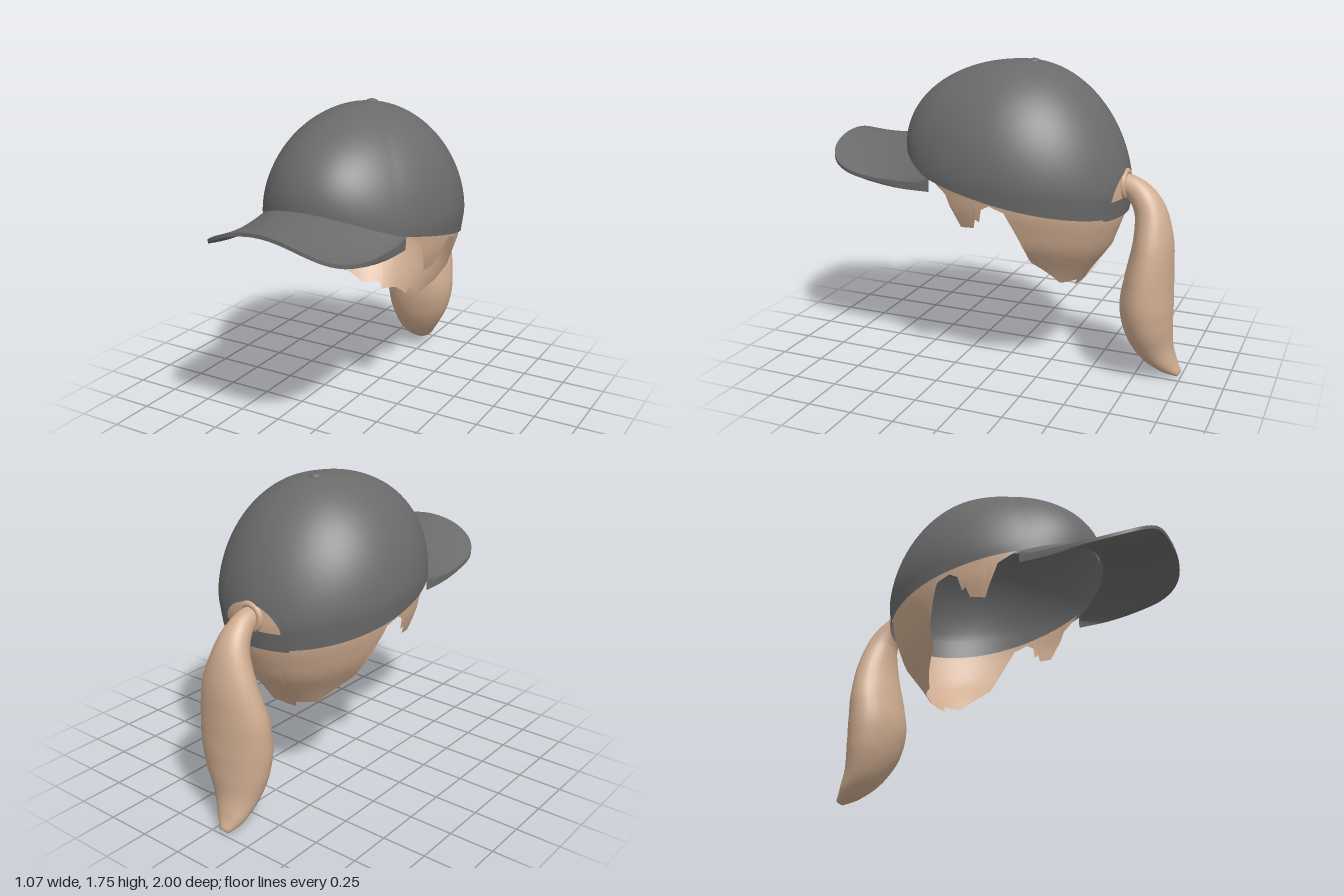
import * as THREE from 'three';

const TOP = 1.74, CZ = -0.08, RX = 0.535, BRIM_X = 0.44;

// Piecewise linear lookup in [position, value] pairs
function lookup(table, t) {
  if (t <= table[0][0]) return table[0][1];
  for (let i = 1; i < table.length; i++) {
    const [a, va] = table[i - 1], [b, vb] = table[i];
    if (t <= b) return va + (vb - va) * (t - a) / (b - a);
  }
  return table[table.length - 1][1];
}

// Smooth surface from a rule fn(u, v) -> [x, y, z]; closed joins the u ends
function grid(name, nu, nv, fn, material, closed = false) {
  const pos = [], idx = [], cols = closed ? nu : nu + 1;
  for (let j = 0; j <= nv; j++)
    for (let i = 0; i < cols; i++) pos.push(...fn(i / nu, j / nv));
  for (let j = 0; j < nv; j++)
    for (let i = 0; i < nu; i++) {
      const a = j * cols + i, b = j * cols + (i + 1) % cols;
      idx.push(a, b, b + cols, a, b + cols, a + cols);
    }
  const g = new THREE.BufferGeometry();
  g.setAttribute('position', new THREE.Float32BufferAttribute(pos, 3));
  g.setIndex(idx);
  g.computeVertexNormals();
  const m = new THREE.Mesh(g, material);
  m.name = name;
  return m;
}

// Outline of the head seen from above; angle 0 faces front
const outline = a => [RX * Math.sin(a), (Math.cos(a) > 0 ? 0.68 : 0.6) * Math.cos(a)];
const archY = x => 1.28 - 0.14 * (x / BRIM_X) ** 2;

// Height of the widest ring
function equator(a) {
  const [x, z] = outline(a);
  if (z + CZ > 0.3) return Math.max(1.15, archY(x));
  return 1.15 - 0.09 * Math.max(0, -Math.cos(a)) ** 2;
}

// Inward taper below the widest ring
const TAPER = [[0, 1], [0.15, 0.965], [0.32, 0.86], [0.46, 0.68], [0.55, 0.58]];

function domePoint(a, edge, t, k) {
  const [x, z] = outline(a), ye = equator(a), h = TOP - ye;
  const p = 1 + 0.15 * Math.max(0, -Math.cos(a));
  const s = (edge - ye) / h;
  const f0 = s >= 0 ? Math.asin(Math.min(1, s ** (1 / p))) : s;
  const f = f0 + (Math.PI / 2 - f0) * t;
  const r = k * (f >= 0 ? Math.cos(f) : lookup(TAPER, -f * h));
  const y = f >= 0 ? ye + h * Math.sin(f) ** p * k : ye + h * f;
  return [x * r, y, CZ + z * r];
}

// Lower edge of the cap, with the arched opening at the back
function capEdge(a) {
  const [x, z0] = outline(a), z = z0 + CZ;
  if (z > 0.3) return archY(x);
  const base = 1.14 - 0.2 * (0.3 - z);
  if (z < 0 && Math.abs(x) < 0.2)
    return Math.max(base, 1.0 + 0.18 * Math.sqrt(1 - (x / 0.2) ** 2));
  return base;
}

// Hairline by degrees from the back: nape, notch behind the ear, sideburn
const HAIRLINE = [
  [0, 0.54], [17, 0.52], [18, 0.56], [37, 0.56], [52, 0.64], [67, 0.72], [77, 0.92],
  [82, 1.02], [90, 1.05], [95, 1.02], [96, 0.95], [99, 0.97], [100, 0.91], [108, 0.9],
  [109, 0.97], [111, 0.96], [113, 1.07], [124, 1.15], [135, 1.3], [180, 1.38],
];
const hairEdge = a => lookup(HAIRLINE, Math.abs(a - Math.PI) * 180 / Math.PI);

const dome = (name, k, edge, mat) => grid(name, 180, 30, (u, v) => {
  const a = u * Math.PI * 2;
  return domePoint(a, edge(a), v, k);
}, mat, true);

// Curved brim: v runs across the top, round the front edge and back underneath
function brim(mat) {
  const g = new THREE.Group();
  g.name = 'brim';
  const sheet = (u, v, drop) => {
    const s = Math.sin((u - 0.5) * Math.PI), x = BRIM_X * s;
    const inner = CZ + 0.68 * Math.sqrt(1 - (x / RX) ** 2) - 0.01;
    const outer = 0.3 + 0.7 * Math.max(0, 1 - s ** 4) ** 0.25;
    const z = inner + Math.max(0, outer - inner) * v;
    const dip = 0.04 * s * s * Math.sin(Math.PI * Math.min(1, v * 0.75));
    return [x, archY(x) - dip - drop - 0.012 * Math.sin(v * Math.PI), z];
  };
  g.add(grid('brimTop', 48, 14, (u, v) => sheet(u, 1 - v, 0), mat));
  g.add(grid('brimUnderside', 48, 14, (u, v) => sheet(u, v, 0.02), mat));
  g.add(grid('brimEdge', 48, 1, (u, v) => sheet(u, 1, 0.02 * (1 - v)), mat));
  return g;
}

// Ponytail sections: x, y, z, half width, half depth
const TAIL = [
  [0, 1.10, -0.60, 0.055, 0.055], [0, 1.10, -0.67, 0.055, 0.06],
  [0, 1.06, -0.74, 0.07, 0.07], [0, 0.97, -0.80, 0.10, 0.085],
  [0, 0.80, -0.825, 0.165, 0.107], [-0.01, 0.60, -0.81, 0.215, 0.13],
  [-0.01, 0.45, -0.80, 0.22, 0.143], [-0.02, 0.30, -0.815, 0.195, 0.132],
  [-0.04, 0.17, -0.855, 0.14, 0.10], [-0.06, 0.07, -0.925, 0.085, 0.055],
  [-0.07, 0.015, -0.985, 0.03, 0.018],
];

function ponytail(mat) {
  const path = new THREE.CatmullRomCurve3(TAIL.map(p => new THREE.Vector3(p[0], p[1], p[2])));
  const sizes = new THREE.CatmullRomCurve3(TAIL.map(p => new THREE.Vector3(p[3], p[4], 0)));
  return grid('ponytail', 28, 50, (u, v) => {
    const t = Math.min(1, v / 0.98), c = path.getPoint(t), d = path.getTangent(t);
    const size = sizes.getPoint(t), len = Math.hypot(d.y, d.z);
    const close = v === 1 ? 0 : 1, a = -u * Math.PI * 2;
    const w = Math.cos(a) * size.x * close, q = Math.sin(a) * size.y * close;
    return [c.x + w, c.y + q * -d.z / len, c.z + q * d.y / len];
  }, mat, true);
}

export function createModel() {
  const make = (name, color) => {
    const m = new THREE.MeshStandardMaterial({ color, side: THREE.DoubleSide });
    m.name = name;
    return m;
  };
  const grey = make('capGrey', 0x6b6b6b), tan = make('hairTan', 0xd0ad91);
  const model = new THREE.Group();
  model.name = 'capWithPonytail';

  // Cap shell, lining and brim
  model.add(dome('crown', 1, capEdge, grey));
  model.add(dome('lining', 0.955, capEdge, grey));
  model.add(brim(grey));

  // Strap closing the bottom of the rear opening
  for (const [name, k] of [['strapOuter', 1.012], ['strapInner', 0.99]])
    model.add(grid(name, 20, 4, (u, v) => {
      const a = Math.PI + (u - 0.5) * 0.86;
      return domePoint(a, 0.945 + 0.095 * v, 0, k);
    }, grey));

  // Button on top
  const button = new THREE.Mesh(new THREE.SphereGeometry(0.035, 20, 12), grey);
  button.name = 'topButton';
  button.scale.y = 0.45;
  button.position.set(0, 1.733, -0.13);
  model.add(button);

  // Hair under the cap, tie and ponytail
  model.add(dome('hair', 0.978, hairEdge, tan));
  const tie = new THREE.Mesh(new THREE.TorusGeometry(0.068, 0.018, 12, 32), tan);
  tie.name = 'hairTie';
  tie.position.set(0, 1.105, -0.66);
  model.add(tie, ponytail(tan));
  return model;
}
